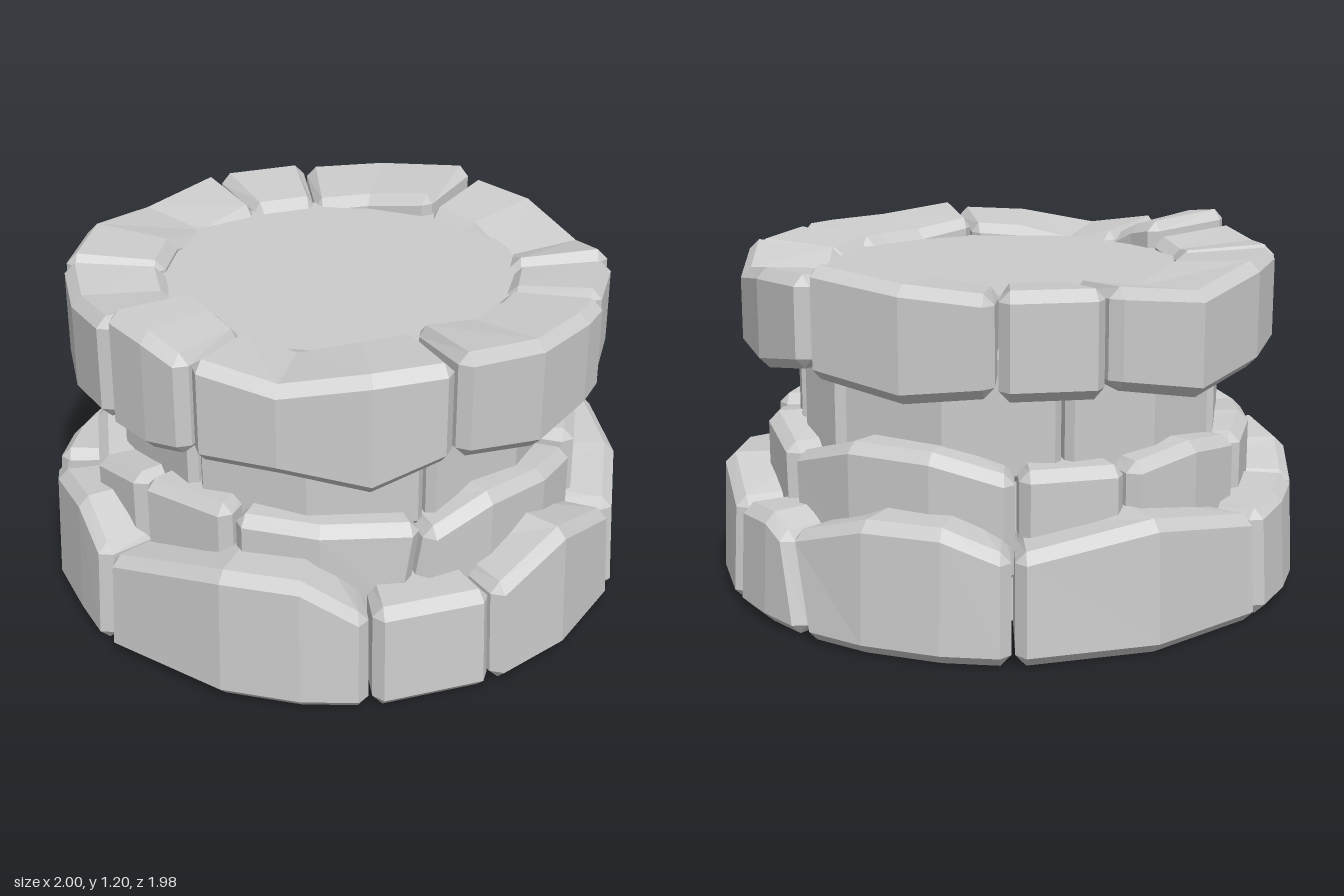
import * as THREE from 'three';

const material = new THREE.MeshStandardMaterial({ color: 0xcccccc, flatShading: true });
const RAD = Math.PI / 180;

// One chamfered block bent around the axis.
// stations: [angle in degrees, top, bottom, lean of the top in degrees, bulge of the outer face]
function stoneGeometry(stations, { inner, outer, outerTop = outer, bottom = 0, drop = 0, c = 0.035 }) {
  const gap = 0.006 / outer, bevel = c / outer;
  const sections = [];
  const add = (s, shift, isEnd) => {
    const [deg, yt, yb = bottom, lean = 0, bulge = 0] = s;
    const ro = outer + bulge, rt = outerTop + bulge, ri = inner, yi = yt - drop;
    const loop = isEnd
      ? [[ro - c, yb + c], [rt - c, yt - c], [rt - c, yt - c], [ri + c, yi - c],
        [ri + c, yi - c], [ri + c, yb + c], [ri + c, yb + c], [ro - c, yb + c]]
      : [[ro, yb + c], [rt, yt - c], [rt - c, yt], [ri + c, yi],
        [ri, yi - c], [ri, yb + c], [ri + c, yb], [ro - c, yb]];
    sections.push(loop.map(([r, y], j) => {
      const a = deg * RAD + shift + (j >= 1 && j <= 4 ? lean * RAD : 0);
      return new THREE.Vector3(r * Math.cos(a), y, r * Math.sin(a));
    }));
  };
  const last = stations.length - 1;
  add(stations[0], gap, true);
  stations.forEach((s, i) => add(s, i === 0 ? gap + bevel : i === last ? -gap - bevel : 0, false));
  add(stations[last], -gap, true);

  const pos = [];
  const tri = (p, q, r) => {
    if (p.distanceTo(q) < 1e-6 || q.distanceTo(r) < 1e-6 || r.distanceTo(p) < 1e-6) return;
    for (const v of [p, q, r]) pos.push(v.x, v.y, v.z);
  };
  for (let i = 0; i < sections.length - 1; i++) {
    for (let j = 0; j < 8; j++) {
      const k = (j + 1) % 8, A = sections[i], B = sections[i + 1];
      tri(A[j], A[k], B[k]);
      tri(A[j], B[k], B[j]);
    }
  }
  const S = sections[0], E = sections[sections.length - 1];
  tri(S[0], S[3], S[1]); tri(S[0], S[5], S[3]);
  tri(E[0], E[1], E[3]); tri(E[0], E[3], E[5]);

  const g = new THREE.BufferGeometry();
  g.setAttribute('position', new THREE.Float32BufferAttribute(pos, 3));
  g.computeVertexNormals();
  return g;
}

function ring(name, options, stones) {
  const group = new THREE.Group();
  group.name = name;
  stones.forEach((stations, i) => {
    const mesh = new THREE.Mesh(stoneGeometry(stations, options), material);
    mesh.name = `${name}Stone${i + 1}`;
    group.add(mesh);
  });
  return group;
}

export function createModel() {
  const model = new THREE.Group();
  model.name = 'stonePedestal';

  // Wide foundation course
  model.add(ring('baseRing', { inner: 0.655, outer: 1.0, outerTop: 0.985 }, [
    [[-18, 0.36], [0, 0.44], [18, 0.41], [38, 0.36]],
    [[38, 0.36], [60, 0.46], [78, 0.36]],
    [[78, 0.36], [102, 0.36]],
    [[102, 0.35], [115, 0.46], [130, 0.46], [158, 0.36]],
    [[158, 0.37], [170, 0.46, 0, 0, -0.015], [184, 0.44], [197, 0.37]],
    [[197, 0.38], [210, 0.37], [223, 0.36]],
    [[223, 0.36], [250, 0.43], [277, 0.36]],
    [[277, 0.36], [290, 0.43], [305, 0.43], [319, 0.35, 0, 4]],
    [[319, 0.33, 0, 4], [330, 0.37], [342, 0.36]],
  ]));

  // Second course, set back
  model.add(ring('lowerRing', { inner: 0.58, outer: 0.835, bottom: 0.2 }, [
    [[-25, 0.55, 0.2, 1], [-5, 0.6], [14, 0.55, 0.2, 2]],
    [[14, 0.58, 0.2, 2], [37, 0.59]],
    [[37, 0.56], [54, 0.58], [72, 0.6], [92, 0.53, 0.2, -3]],
    [[92, 0.56, 0.2, -3], [112, 0.57], [132, 0.58]],
    [[132, 0.6], [158, 0.59]],
    [[158, 0.58], [175, 0.55, 0.2, 0, 0.03], [195, 0.58], [213, 0.56]],
    [[213, 0.57], [232, 0.6], [251, 0.57]],
    [[251, 0.57], [276, 0.57]],
    [[276, 0.56], [295, 0.62], [315, 0.62], [335, 0.54, 0.2, 1]],
  ]));

  // Narrow waist
  const waist = ring('waistRing', { inner: 0.52, outer: 0.74, bottom: 0.5, c: 0.025 }, [
    [[-12, 0.92], [8, 0.92], [27, 0.92]],
    [[27, 0.92], [55, 0.92], [85, 0.92]],
    [[85, 0.92], [115, 0.92], [145, 0.92]],
    [[145, 0.92], [180, 0.92], [215, 0.92]],
    [[215, 0.92], [240, 0.92], [265, 0.92]],
    [[265, 0.92], [295, 0.92], [326, 0.92]],
    [[326, 0.92], [348, 0.92]],
  ]);
  waist.position.set(-0.012, 0, 0.01);
  model.add(waist);

  // Overhanging rim with uneven tops and undersides
  const rim = ring('rimRing', { inner: 0.58, outer: 0.91, bottom: 0.81, drop: 0.025 }, [
    [[-38, 1.14, 0.84], [-20, 1.13, 0.8], [0, 1.08, 0.8], [17.5, 1.14, 0.83]],
    [[17.5, 1.13, 0.81], [39, 1.14, 0.81, 0, -0.02]],
    [[39, 1.14, 0.81], [49, 1.14, 0.8], [65, 1.14, 0.77], [85, 1.17, 0.82]],
    [[85, 1.15, 0.82], [102, 1.14, 0.74], [120, 1.1, 0.8], [138.5, 1.14, 0.8]],
    [[138.5, 1.14, 0.8], [149, 1.18, 0.78], [161, 1.2, 0.79]],
    [[161, 1.15, 0.8], [178, 1.13, 0.78], [195, 1.15, 0.8]],
    [[195, 1.15, 0.82], [215, 1.15, 0.8], [236, 1.1, 0.76], [258, 1.14, 0.82]],
    [[258, 1.14, 0.8], [280, 1.14, 0.8]],
    [[280, 1.13, 0.81], [299, 1.15, 0.78], [322, 1.18, 0.82]],
  ]);
  rim.position.z = 0.017;
  model.add(rim);

  // Solid core filling the rings, forming the top and bottom discs
  const core = new THREE.Mesh(new THREE.CylinderGeometry(0.62, 0.67, 1.05, 32), material);
  core.name = 'core';
  core.position.y = 0.03 + 0.525;
  model.add(core);

  return model;
}
